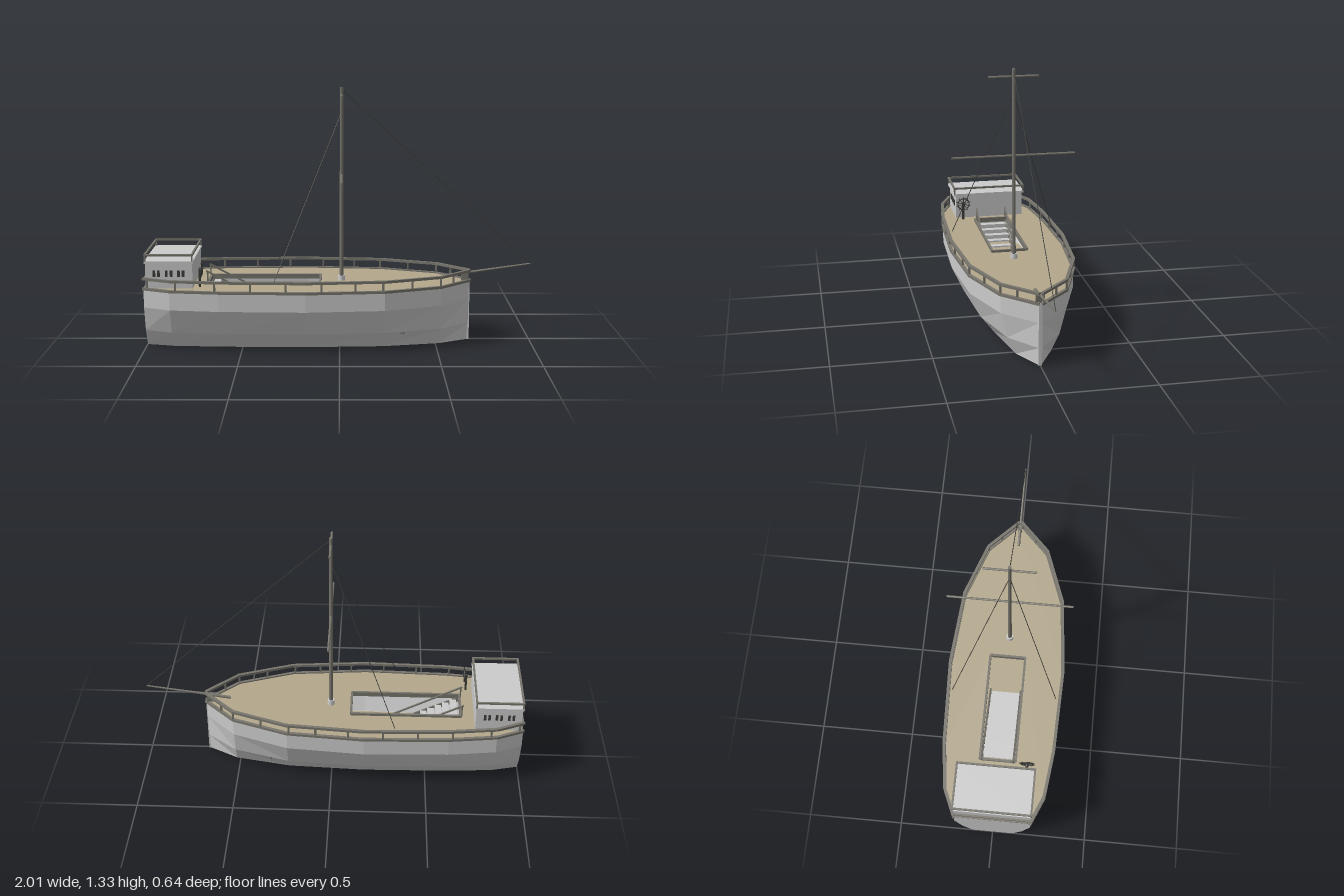
import * as THREE from 'three';

const grey = new THREE.MeshStandardMaterial({ color: 0xcccccc, flatShading: true, side: THREE.DoubleSide });
const wood = new THREE.MeshStandardMaterial({ color: 0xb3a78c, flatShading: true, side: THREE.DoubleSide });
const dark = new THREE.MeshStandardMaterial({ color: 0x77756c, flatShading: true });
const black = new THREE.MeshStandardMaterial({ color: 0x3c3c38, flatShading: true });
const V = (x, y, z) => new THREE.Vector3(x, y, z);

// Half-breadth of the hull at deck level: [x, z], stern to bow
const plan = [[-1, 0.2], [-0.86, 0.26], [-0.61, 0.29], [-0.17, 0.305], [0.23, 0.27], [0.52, 0.165], [0.68, 0.008]];
// Hull section: [y, share of the half-breadth]
const section = [[0, 0.54], [0.09, 0.8], [0.22, 1], [0.32, 1]];

function halfWidth(x) {
  const i = Math.max(1, plan.findIndex(p => p[0] >= x));
  const [x0, z0] = plan[i - 1], [x1, z1] = plan[i];
  return z0 + (z1 - z0) * (x - x0) / (x1 - x0);
}

export function createModel() {
  const ship = new THREE.Group();
  ship.name = 'sailingBoat';

  const add = (name, geo, mat, x = 0, y = 0, z = 0, parent = ship) => {
    const m = new THREE.Mesh(geo, mat);
    m.name = name;
    m.position.set(x, y, z);
    parent.add(m);
    return m;
  };
  const box = (name, w, h, d, mat, x, y, z, parent) => add(name, new THREE.BoxGeometry(w, h, d), mat, x, y, z, parent);
  const rod = (name, a, b, r0, r1, mat, parent, sides = 8) => {
    const d = b.clone().sub(a), mid = a.clone().add(b).multiplyScalar(0.5);
    const m = add(name, new THREE.CylinderGeometry(r1, r0, d.length(), sides), mat, mid.x, mid.y, mid.z, parent);
    m.quaternion.setFromUnitVectors(V(0, 1, 0), d.normalize());
    return m;
  };
  const beam = (name, a, b, w, h, mat, parent) => {
    const mid = a.clone().add(b).multiplyScalar(0.5);
    const m = box(name, w, h, a.distanceTo(b) + w * 0.5, mat, mid.x, mid.y, mid.z, parent);
    m.lookAt(b);
    return m;
  };
  const group = name => {
    const g = new THREE.Group();
    g.name = name;
    ship.add(g);
    return g;
  };

  // Hull: planking between stations, flat bottom, transom and stem
  const pos = [];
  const quad = (a, b, c, d) => [a, b, c, a, c, d].forEach(p => pos.push(p.x, p.y, p.z));
  const pt = (i, j, s) => V(plan[i][0], section[j][0], s * plan[i][1] * section[j][1]);
  const last = plan.length - 1;
  for (let i = 0; i < last; i++) {
    for (let j = 0; j < section.length - 1; j++) {
      quad(pt(i, j, 1), pt(i + 1, j, 1), pt(i + 1, j + 1, 1), pt(i, j + 1, 1));
      quad(pt(i, j, -1), pt(i, j + 1, -1), pt(i + 1, j + 1, -1), pt(i + 1, j, -1));
    }
    quad(pt(i, 0, -1), pt(i + 1, 0, -1), pt(i + 1, 0, 1), pt(i, 0, 1));
  }
  for (let j = 0; j < section.length - 1; j++) {
    quad(pt(0, j, -1), pt(0, j, 1), pt(0, j + 1, 1), pt(0, j + 1, -1));
    quad(pt(last, j, 1), pt(last, j, -1), pt(last, j + 1, -1), pt(last, j + 1, 1));
  }
  const hull = new THREE.BufferGeometry();
  hull.setAttribute('position', new THREE.Float32BufferAttribute(pos, 3));
  hull.computeVertexNormals();
  add('hull', hull, grey);
  box('stemPost', 0.012, 0.32, 0.018, grey, 0.677, 0.16, 0);

  // Upper deck with the stair opening, and the lower deck
  const outline = k => new THREE.Shape([
    ...plan.map(([x, z]) => new THREE.Vector2(x, z * k)),
    ...[...plan].reverse().map(([x, z]) => new THREE.Vector2(x, -z * k))]);
  const X0 = -0.68, X1 = -0.1, ZH = 0.095;
  const deckShape = outline(0.99);
  deckShape.holes.push(new THREE.Path([[X0, -ZH], [X0, ZH], [X1, ZH], [X1, -ZH]].map(p => new THREE.Vector2(...p))));
  const deckGeo = new THREE.ExtrudeGeometry(deckShape, { depth: 0.012, bevelEnabled: false }).rotateX(Math.PI / 2);
  add('deck', deckGeo, wood, 0, 0.318, 0);
  add('lowerDeck', new THREE.ShapeGeometry(outline(0.79)).rotateX(Math.PI / 2), wood, 0, 0.09, 0);

  // Raised frame round the opening
  const hatch = group('hatchFrame');
  for (const s of [-1, 1]) box('hatchSide', X1 - X0, 0.025, 0.012, dark, (X0 + X1) / 2, 0.318, s * ZH, hatch);
  for (const x of [X0, X1]) box('hatchEnd', 0.012, 0.025, 2 * ZH, dark, x, 0.318, 0, hatch);

  // Stairs down to the lower deck
  const stairs = group('stairs');
  for (let i = 0; i < 11; i++) box('step', 0.036, 0.008, 0.165, grey, -0.645 + i * 0.039, 0.3 - i * 0.02, 0, stairs);
  for (const s of [-1, 1]) {
    const z = s * 0.083;
    beam('stringer', V(-0.67, 0.305, z), V(-0.235, 0.092, z), 0.008, 0.024, dark, stairs);
    beam('handrail', V(-0.69, 0.385, z), V(-0.24, 0.15, z), 0.008, 0.008, dark, stairs);
    rod('handrailPost', V(-0.685, 0.315, z), V(-0.685, 0.385, z), 0.004, 0.004, dark, stairs);
    rod('handrailPost', V(-0.24, 0.09, z), V(-0.24, 0.15, z), 0.004, 0.004, dark, stairs);
  }

  // Rubbing strake, top rail and posts on both sides
  const rails = group('railing');
  for (const s of [-1, 1]) {
    for (let i = 0; i < last; i++) {
      const [a, b] = [plan[i], plan[i + 1]];
      beam('strake', V(a[0], 0.318, s * a[1]), V(b[0], 0.318, s * b[1]), 0.016, 0.013, dark, rails);
      beam('topRail', V(a[0], 0.37, s * a[1]), V(b[0], 0.37, s * b[1]), 0.016, 0.013, dark, rails);
    }
    for (const x of [-0.98, -0.83, -0.63, -0.45, -0.27, -0.09, 0.08, 0.22, 0.37, 0.52, 0.59, 0.67])
      box('railPost', 0.01, 0.052, 0.01, dark, x, 0.344, s * halfWidth(x), rails);
  }
  for (const y of [0.318, 0.37]) box('sternRail', 0.014, 0.013, 0.4, dark, -0.993, y, 0, rails);

  // Stern cabin with windows and roof railing
  const cabin = group('cabin');
  box('cabinWalls', 0.24, 0.135, 0.39, grey, -0.87, 0.385, 0, cabin);
  box('cabinRoof', 0.25, 0.012, 0.412, grey, -0.87, 0.456, 0, cabin);
  for (const s of [-1, 1])
    for (const x of [-0.945, -0.922, -0.882, -0.858, -0.82, -0.797])
      box('window', 0.013, 0.034, 0.004, black, x, 0.397, s * 0.196, cabin);
  for (const s of [-1, 1]) {
    box('roofRailSide', 0.25, 0.01, 0.01, dark, -0.87, 0.494, s * 0.202, cabin);
    box('roofRailEnd', 0.01, 0.01, 0.41, dark, -0.87 + s * 0.12, 0.494, 0, cabin);
    for (const x of [-0.99, -0.75]) box('roofRailPost', 0.008, 0.035, 0.008, dark, x, 0.477, s * 0.202, cabin);
  }

  // Steering wheel, facing fore and aft
  const wheel = group('steeringWheel');
  const wy = 0.412, wz = 0.157;
  add('wheelRim', new THREE.TorusGeometry(0.033, 0.0035, 6, 20).rotateY(Math.PI / 2), black, -0.706, wy, wz, wheel);
  for (let i = 0; i < 5; i++) {
    const a = i * Math.PI / 5, y = 0.044 * Math.cos(a), z = 0.044 * Math.sin(a);
    rod('spoke', V(-0.706, wy - y, wz - z), V(-0.706, wy + y, wz + z), 0.002, 0.002, black, wheel, 6);
  }
  rod('wheelHub', V(-0.722, wy, wz), V(-0.7, wy, wz), 0.008, 0.008, black, wheel);
  box('wheelStand', 0.01, 0.1, 0.014, black, -0.717, 0.365, wz, wheel);

  // Mast, yards and bowsprit
  const mx = 0.01;
  rod('mast', V(mx, 0.31, 0), V(mx, 1.33, 0), 0.011, 0.009, dark, ship, 10);
  rod('mastCollar', V(mx, 0.315, 0), V(mx, 0.345, 0), 0.02, 0.018, grey, ship, 10);
  for (const [y, h] of [[0.877, 0.322], [1.29, 0.13]])
    rod('yard', V(mx, y, -h), V(mx, y, h), 0.006, 0.006, dark);
  rod('bowsprit', V(0.55, 0.342, 0), V(1, 0.407, 0), 0.008, 0.004, dark);
  box('bowspritBlock', 0.03, 0.05, 0.02, dark, 0.655, 0.338, 0);

  // Rigging and anchor fittings
  rod('forestay', V(mx, 1.32, 0), V(0.997, 0.408, 0), 0.002, 0.002, black, ship, 5);
  for (const s of [-1, 1]) {
    rod('shroud', V(mx, 1.2, 0), V(-0.33, 0.374, s * 0.278), 0.002, 0.002, black, ship, 5);
    const z = s * halfWidth(0.32) * 0.77;
    rod('anchorStock', V(0.305, 0.082, z), V(0.335, 0.082, z * 0.96), 0.004, 0.004, dark);
    rod('anchorFluke', V(0.325, 0.074, z), V(0.325, 0.09, z), 0.004, 0.004, dark);
  }
  return ship;
}
